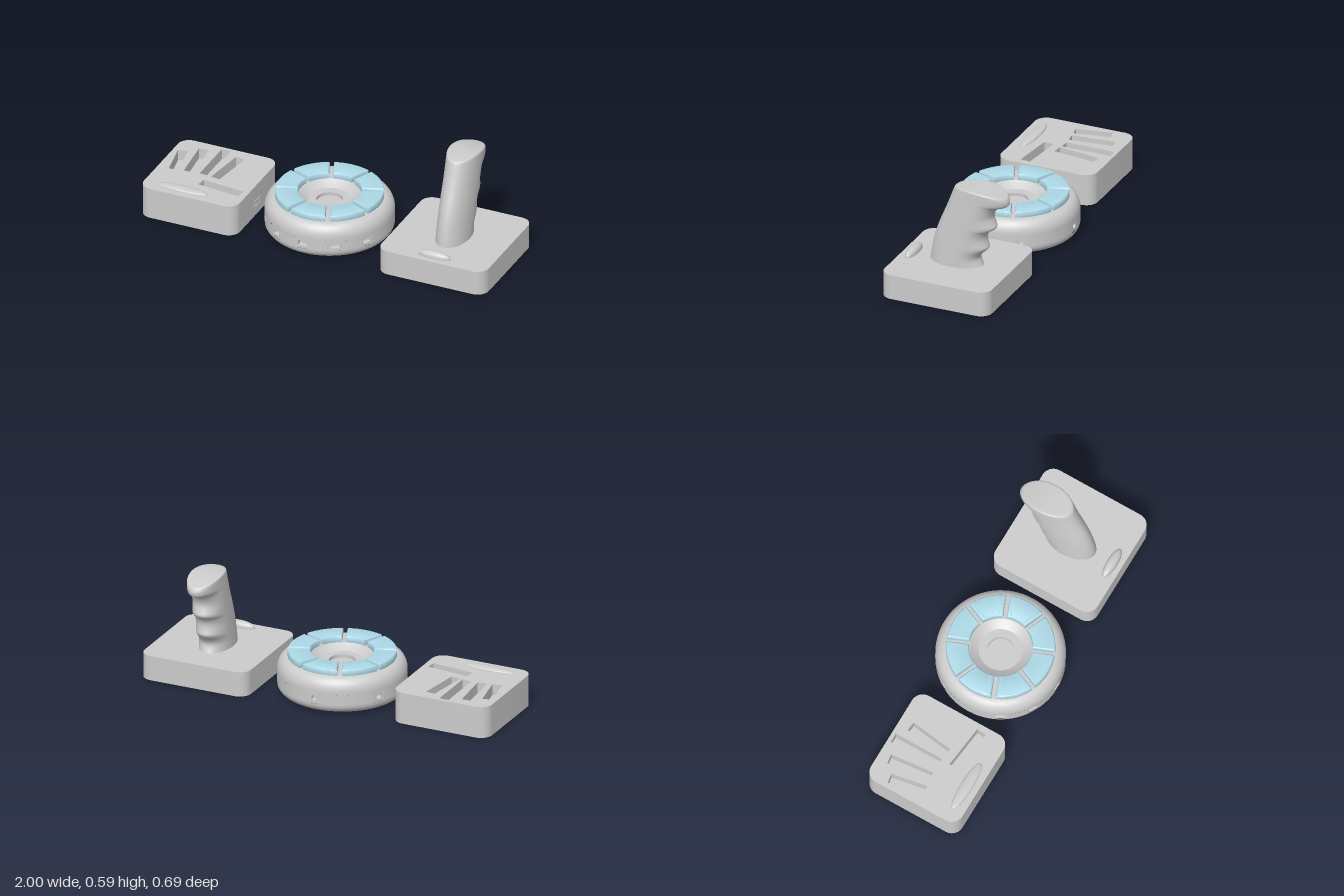
import * as THREE from 'three';
import { toCreasedNormals } from 'three/addons/utils/BufferGeometryUtils.js';

const grey = new THREE.MeshStandardMaterial({ color: 0xcccccc });
const blue = new THREE.MeshStandardMaterial({ color: 0xadd8e6 });
const V2 = (x, y) => new THREE.Vector2(x, y);

function add(parent, name, geometry, material = grey) {
  const mesh = new THREE.Mesh(geometry, material);
  mesh.name = name;
  parent.add(mesh);
  return mesh;
}

function group(parent, name, x = 0, y = 0, z = 0) {
  const g = new THREE.Group();
  g.name = name;
  g.position.set(x, y, z);
  parent.add(g);
  return g;
}

// Extrude a plan shape upwards (shape y becomes -z)
function slab(shape, y0, height) {
  const g = new THREE.ExtrudeGeometry(shape, { depth: height, bevelEnabled: false, curveSegments: 10 });
  return toCreasedNormals(g.rotateX(-Math.PI / 2).translate(0, y0, 0), 0.5);
}

function roundedSquare(size, r) {
  const h = size / 2 - r, s = new THREE.Shape();
  s.absarc(h, h, r, 0, Math.PI / 2);
  s.absarc(-h, h, r, Math.PI / 2, Math.PI);
  s.absarc(-h, -h, r, Math.PI, Math.PI * 1.5);
  s.absarc(h, -h, r, Math.PI * 1.5, Math.PI * 2);
  return s;
}

function rectangle(Type, w, h, angle = 0, x = 0, y = 0) {
  const c = Math.cos(angle), s = Math.sin(angle);
  return new Type([[-1, -1], [1, -1], [1, 1], [-1, 1]].map(([i, j]) => {
    const u = i * w / 2, v = j * h / 2;
    return V2(x + u * c - v * s, y + u * s + v * c);
  }));
}

// Flat plate facing +z with an opening and a floor behind it
function socket(parent, name, w, h, depth, hole) {
  const g = group(parent, name);
  const shape = rectangle(THREE.Shape, w, h);
  shape.holes.push(hole);
  add(g, 'socketRim', toCreasedNormals(
    new THREE.ExtrudeGeometry(shape, { depth, bevelEnabled: false }).translate(0, 0, -depth), 0.5));
  add(g, 'socketFloor', new THREE.PlaneGeometry(w, h).translate(0, 0, -depth * 0.9));
  return g;
}

// Low oval pad with a full, rounded top
function ovalPad(parent, x, y, z, rx, ry, rz) {
  const pts = [];
  for (let i = 0; i <= 14; i++) {
    const a = i / 14 * Math.PI / 2;
    pts.push(V2(i === 14 ? 0 : Math.cos(a) * rx, Math.pow(Math.sin(a), 0.75) * ry));
  }
  const pad = add(parent, 'ovalButton', new THREE.LatheGeometry(pts, 40).scale(1, 1, rz / rx));
  pad.position.set(x, y, z);
}

// Block with finger-shaped slots
function buildSlotBlock(root) {
  const g = group(root, 'slotBlock', -0.722, 0, 0.018);
  const size = 0.555, depth = 0.06, top = 0.175;
  add(g, 'blockBase', slab(roundedSquare(size, 0.065), 0, top - depth));
  const face = roundedSquare(size, 0.065);
  const slots = [ // x, z, width, length, turn
    [-0.927, -0.043, 0.053, 0.2, 0.185],
    [-0.84, -0.077, 0.053, 0.243, 0.1],
    [-0.74, -0.1, 0.053, 0.278, 0],
    [-0.655, -0.072, 0.053, 0.243, -0.135],
    [-0.6, 0.131, 0.243, 0.055, -0.11],
  ];
  for (const [x, z, w, l, a] of slots)
    face.holes.push(rectangle(THREE.Path, w, l, a, x + 0.722, -(z - 0.018)));
  add(g, 'slottedTop', slab(face, top - depth, depth));
  ovalPad(g, -0.056, top, 0.211, 0.147, 0.016, 0.033);
  const port = socket(g, 'sidePort', 0.062, 0.037, 0.004, rectangle(THREE.Path, 0.05, 0.025));
  port.rotation.y = Math.PI / 2;
  port.position.set(size / 2 + 0.003, 0.07, 0);
}

// Round hub with sockets around its wall and a ring of keys
function buildHub(root) {
  const g = group(root, 'hub', -0.033, 0, 0);
  const R = 0.343, y0 = 0.06, y1 = 0.12, lower = [V2(0, 0.008)], upper = [];
  for (let i = 0; i <= 10; i++) {
    const a = i / 10 * Math.PI / 2;
    lower.push(V2(R - 0.06 + 0.06 * Math.sin(a), y0 - 0.052 * Math.cos(a)));
    upper.push(V2(R - 0.06 + 0.06 * Math.cos(a), y1 + 0.012 + 0.075 * Math.sin(a)));
  }
  upper.unshift(V2(R, y1));
  upper.push(V2(0.163, 0.207), V2(0.155, 0.2), V2(0.115, 0.178), V2(0.07, 0.178), V2(0.07, 0.16), V2(0, 0.16));
  add(g, 'hubBottom', toCreasedNormals(new THREE.LatheGeometry(lower, 80), 0.5));
  add(g, 'hubTop', toCreasedNormals(new THREE.LatheGeometry(upper, 80), 0.5));

  const half = 0.1, degrees = [0, 30, 60, 120, 180, 240, 300, 330, 360];
  for (let i = 0; i < degrees.length - 1; i++) {
    const a = THREE.MathUtils.degToRad(degrees[i]);
    const next = THREE.MathUtils.degToRad(degrees[i + 1]);
    const wall = new THREE.CylinderGeometry(R, R, y1 - y0, 16, 1, true, a + half, next - a - 2 * half);
    add(g, 'hubWall', wall.translate(0, (y0 + y1) / 2, 0));
    const isRound = degrees[i] >= 120 && degrees[i] <= 240;
    const hole = isRound ? new THREE.Path().absarc(0, 0, 0.015, 0, Math.PI * 2)
      : rectangle(THREE.Path, 0.05, 0.028);
    const s = socket(g, isRound ? 'roundSocket' : 'flatSocket', 2 * R * Math.sin(half), y1 - y0, 0.03, hole);
    const d = R * Math.cos(half);
    s.position.set(d * Math.sin(a), (y0 + y1) / 2, d * Math.cos(a));
    s.rotation.y = a;
  }

  // Keys with parallel gaps between them
  const ro = 0.287, ri = 0.167, gap = 0.011, bevel = 0.009;
  const ao = Math.PI / 8 - gap / ro, ai = Math.PI / 8 - gap / ri;
  const sector = new THREE.Shape();
  sector.absarc(0, 0, ro, -ao, ao, false);
  sector.absarc(0, 0, ri, ai, -ai, true);
  const key = toCreasedNormals(new THREE.ExtrudeGeometry(sector, {
    depth: 0.04 - bevel, bevelSize: bevel, bevelThickness: bevel, bevelOffset: -bevel,
    bevelSegments: 4, curveSegments: 12,
  }).rotateX(-Math.PI / 2), 0.6);
  for (let i = 0; i < 8; i++) {
    const k = add(g, 'key', key, blue);
    k.position.y = 0.2;
    k.rotation.y = i * Math.PI / 4;
  }
}

// Grip lofted from ovals between a front and a back profile
function gripGeometry() {
  const curve = pts => new THREE.CatmullRomCurve3(pts.map(([z, y]) => new THREE.Vector3(0, y, z)));
  const front = curve([[0.152, 0.13], [0.147, 0.177], [0.138, 0.228], [0.125, 0.284], [0.099, 0.361],
    [0.066, 0.44], [0.042, 0.5], [0.016, 0.57], [0.01, 0.582]]).getPoints(120);
  const back = curve([[-0.15, 0.13], [-0.133, 0.168], [-0.131, 0.186], [-0.142, 0.208], [-0.171, 0.236],
    [-0.179, 0.25], [-0.173, 0.273], [-0.168, 0.297], [-0.171, 0.32], [-0.186, 0.344], [-0.217, 0.365],
    [-0.223, 0.378], [-0.215, 0.4], [-0.206, 0.43], [-0.214, 0.462], [-0.238, 0.49], [-0.28, 0.505],
    [-0.293, 0.517], [-0.2965, 0.536], [-0.291, 0.551]]).getPoints(90);
  const frontZ = y => {
    const i = Math.max(1, front.findIndex(p => p.y >= y));
    const a = front[i - 1], b = front[i];
    return a.z + (b.z - a.z) * (y - a.y) / (b.y - a.y);
  };
  const rings = back.map(b => {
    const fy = b.y + Math.max(0, b.y - 0.46) * 0.27;
    return { fz: frontZ(fy), fy, bz: b.z, by: b.y, s: 1, sag: 0.022 * THREE.MathUtils.smoothstep(b.y, 0.43, 0.55) };
  });
  // Rounded rim, then the arched top closing to its middle
  const last = rings[rings.length - 1];
  for (const [s, lift] of [[0.985, 0.003], [0.96, 0.0055], [0.92, 0.007], [0.75, 0.007], [0.5, 0.007], [0.25, 0.007], [0.001, 0.007]])
    rings.push({ ...last, s, fy: last.fy + lift, by: last.by + lift });

  const n = 48, pos = [], index = [];
  rings.forEach((r, i) => {
    const t = THREE.MathUtils.clamp((r.by - 0.138) / 0.41, 0, 1);
    const mid = THREE.MathUtils.lerp(0.0, -0.14, t);
    for (let j = 0; j < n; j++) {
      const a = j / n * Math.PI * 2, c = Math.cos(a) * r.s;
      const z = mid + (c > 0 ? c * (r.fz - mid) : c * (mid - r.bz));
      const y = (r.fy + r.by) / 2 + c * (r.fy - r.by) / 2 + r.sag * (1 - c * c);
      pos.push(0.088 * Math.sin(a) * r.s, y, z);
      if (i === rings.length - 1) continue;
      const p = i * n + j, q = i * n + (j + 1) % n;
      index.push(p, q, p + n, q, q + n, p + n);
    }
  });
  const g = new THREE.BufferGeometry();
  g.setAttribute('position', new THREE.Float32BufferAttribute(pos, 3));
  g.setIndex(index);
  g.computeVertexNormals();
  return g;
}

// Stick with its base block
function buildStick(root) {
  const g = group(root, 'stickUnit', 0.69, 0, 0);
  add(g, 'stickBase', slab(roundedSquare(0.62, 0.065), 0, 0.138));
  add(g, 'grip', gripGeometry());
  ovalPad(g, 0, 0.138, 0.254, 0.091, 0.035, 0.029);
}

export function createModel() {
  const root = new THREE.Group();
  root.name = 'controllerSet';
  buildSlotBlock(root);
  buildHub(root);
  buildStick(root);
  return root;
}
